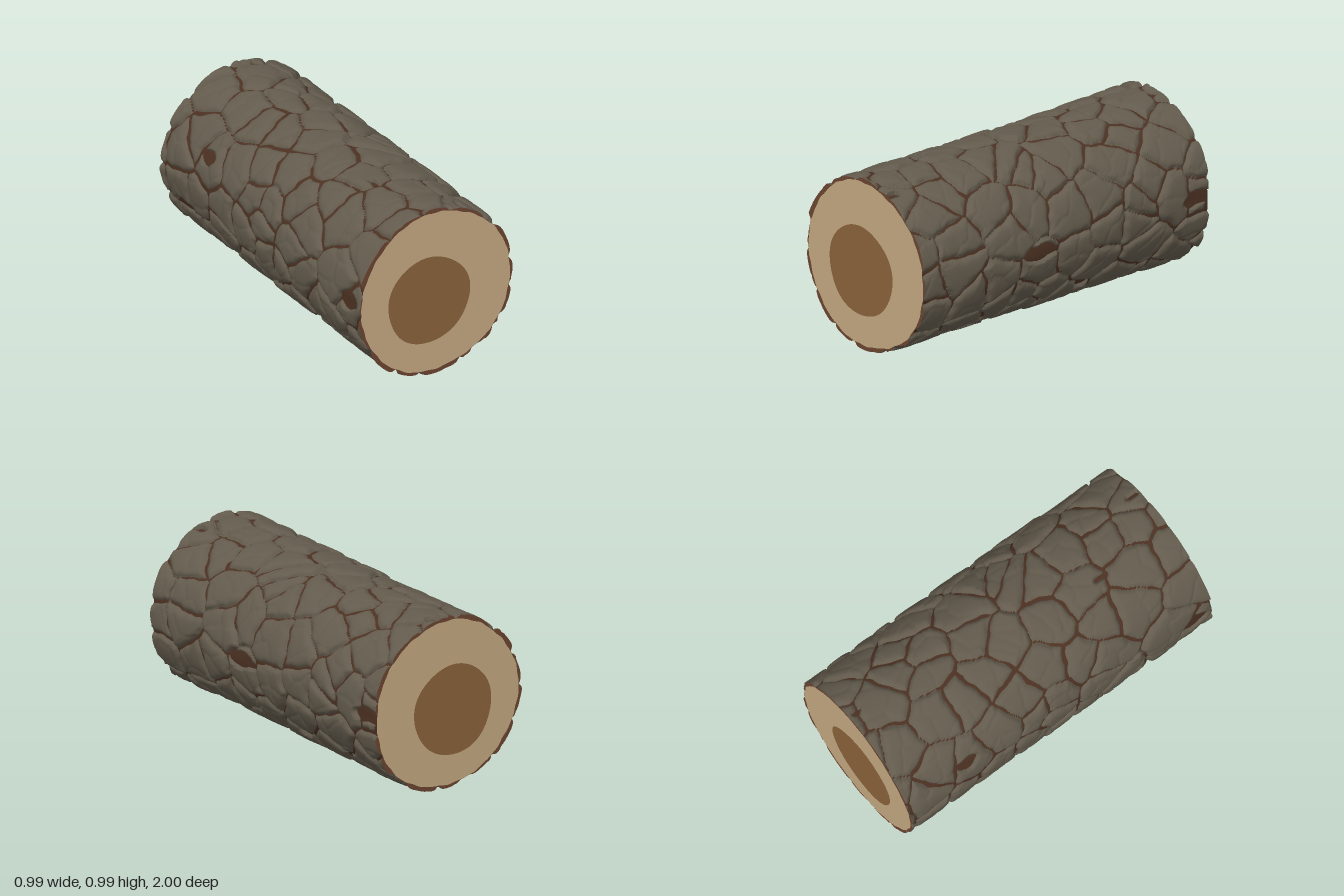
import * as THREE from 'three';

const R = 0.483, CY = 0.495, TAU = Math.PI * 2;
const NT = 284, NZ = 216; // bark grid, around and along

function seeded(seed) {
  return () => {
    seed = (seed * 1664525 + 1013904223) % 4294967296;
    return seed / 4294967296;
  };
}

// Jittered cell centres wrapped around the trunk: u is arc length, z runs along the log
function makeCells(around, along, seed) {
  const rand = seeded(seed), cells = [];
  for (let j = -1; j <= along; j++) {
    for (let i = 0; i < around; i++) {
      cells.push({
        u: ((i + 0.5 * (j & 1) + 0.95 * rand()) / around) * TAU * R,
        z: -1 + (2 * (j + 0.5 + 0.95 * (rand() - 0.5))) / along,
        lift: rand() - 0.5, tiltU: rand() - 0.5, tiltZ: rand() - 0.5,
      });
    }
  }
  return cells;
}

const wrapArc = (d) => d - TAU * R * Math.round(d / (TAU * R));

// Nearest cell, and the distance to the border it shares with the next one
function findCell(cells, u, z) {
  let a = null, b = null, da = 9, db = 9;
  for (const c of cells) {
    const dz = z - c.z;
    if (Math.abs(dz) > 0.6) continue;
    const du = wrapArc(u - c.u), d = du * du + dz * dz;
    if (d < da) { b = a; db = da; a = c; da = d; }
    else if (d < db) { b = c; db = d; }
  }
  const gap = Math.hypot(wrapArc(a.u - b.u), a.z - b.z);
  return { cell: a, edge: (db - da) / (2 * gap + 1e-6), du: wrapArc(u - a.u), dz: z - a.z };
}

const plates = makeCells(13, 9, 41);
const facets = makeCells(19, 13, 977);

// Places where the bark has flaked away: angle, z, half height, half length
const chips = [
  [0, 0.18, 0.042, 0.13], [0.02, -0.93, 0.04, 0.11], [-0.73, -0.2, 0.04, 0.05],
  [1.78, 0.55, 0.016, 0.05], [1.19, 0.95, 0.016, 0.04], [1.42, -0.95, 0.012, 0.03],
  [2.7, -0.6, 0.04, 0.06], [3.1, 0.88, 0.05, 0.08], [3.5, -0.82, 0.035, 0.07],
  [4.3, 0.1, 0.03, 0.07], [5.2, 0.5, 0.02, 0.06],
];

// Slow swelling of the trunk
const trunkRadius = (t, z) => R + 0.004 * Math.sin(3 * t + 2.1 * z) +
  0.004 * Math.sin(2 * t - 1.7 * z + 1) + 0.003 * Math.sin(5 * t + 3 * z + 2);

const coreRadius = (t, z) => trunkRadius(t, z) - 0.02 +
  0.002 * Math.sin(17 * t + 9 * z) + 0.0015 * Math.sin(31 * t - 13 * z);

function barkRadius(t, z) {
  // Bend the coordinates a little so the cracks wander
  const u = t * R + 0.007 * Math.sin(19 * z + 3 * t) + 0.003 * Math.sin(61 * z + 5 * t);
  const v = z + 0.008 * Math.sin(9 * t + 5 * z) + 0.003 * Math.sin(31 * t);
  const p = findCell(plates, u, v), f = findCell(facets, u, v);
  const width = 0.0125 + 0.004 * Math.sin(4 * t + 7 * z) * Math.sin(3 * t - 11 * z);
  let r = trunkRadius(t, z) + 0.002;
  r += 0.009 * p.cell.lift + 0.05 * (p.cell.tiltU * p.du + p.cell.tiltZ * p.dz);
  r += 0.05 * (f.cell.tiltU * f.du + f.cell.tiltZ * f.dz);
  r -= 0.005 * Math.exp(-f.edge / 0.008);
  r -= 0.036 * Math.exp(-p.edge / width);
  for (const [ct, cz, h, l] of chips) {
    const q = Math.hypot(wrapArc((t - ct) * R) / h, (z - cz) / l) +
      0.13 * Math.sin(23 * z + 11 * t) + 0.08 * Math.sin(47 * z - 29 * t);
    r -= 0.045 * (1 - THREE.MathUtils.smoothstep(q, 0.8, 1.15));
  }
  return r;
}

// Tube along z whose radius follows a rule; it closes on itself without a seam
function tube(radius, nt, nz) {
  const pos = [], index = [];
  for (let j = 0; j <= nz; j++) {
    const z = -1 + (2 * j) / nz;
    for (let i = 0; i < nt; i++) {
      const t = (i / nt) * TAU, r = radius(t, z);
      pos.push(r * Math.cos(t), CY + r * Math.sin(t), z);
      if (j === nz) continue;
      const a = j * nt + i, b = j * nt + ((i + 1) % nt);
      index.push(a, b, a + nt, b, b + nt, a + nt);
    }
  }
  const geo = new THREE.BufferGeometry();
  geo.setAttribute('position', new THREE.Float32BufferAttribute(pos, 3));
  geo.setIndex(index);
  geo.computeVertexNormals();
  return geo;
}

// Closed outline of an end face, mirrored for the back end
function outline(radius, side, n, cx = 0, cy = CY) {
  return Array.from({ length: n }, (_, i) => {
    const t = (i / n) * TAU, r = radius(t);
    return new THREE.Vector2(side * (cx + r * Math.cos(t)), cy + r * Math.sin(t));
  });
}

function endFace(outer, inner, side) {
  const shape = new THREE.Shape(outer);
  if (inner) shape.holes.push(new THREE.Path(inner));
  const geo = new THREE.ShapeGeometry(shape);
  if (side < 0) geo.rotateY(Math.PI);
  geo.translate(0, 0, side);
  return geo;
}

export function createModel() {
  const group = new THREE.Group();
  group.name = 'log';
  const material = (name, color) => {
    const m = new THREE.MeshStandardMaterial({ color });
    m.name = name;
    return m;
  };
  const bark = material('bark', 0x635b4d);
  const crack = material('crackBrown', 0x4c3122);
  const innerBark = material('innerBark', 0x6b4430);
  const sapwood = material('sapwood', 0xc4a881);
  const heartwood = material('heartwood', 0x8a633a);

  const add = (name, geo, mat) => {
    const mesh = new THREE.Mesh(geo, mat);
    mesh.name = name;
    group.add(mesh);
  };

  // Bark plates dip below the brown layer along the cracks
  add('barkPlates', tube(barkRadius, NT, NZ), bark);
  add('crackLayer', tube(coreRadius, 142, 50), crack);

  // Sawn ends: bark rim, pale wood and off-centre heart
  for (const side of [1, -1]) {
    const end = side > 0 ? 'front' : 'back';
    const core = outline((t) => coreRadius(t, side), side, NT);
    const rim = outline((t) => Math.max(barkRadius(t, side), coreRadius(t, side) + 0.001), side, NT);
    const heart = outline((t) => 0.253 + 0.003 * Math.sin(3 * t + 1) + 0.002 * Math.sin(5 * t), side, 96, -0.04, 0.452);
    add(end + 'Rim', endFace(rim, core, side), innerBark);
    add(end + 'Sapwood', endFace(core, heart, side), sapwood);
    add(end + 'Heartwood', endFace(heart, null, side), heartwood);
  }

  // Rest the log on the ground
  group.position.y = -new THREE.Box3().setFromObject(group).min.y;
  return group;
}
